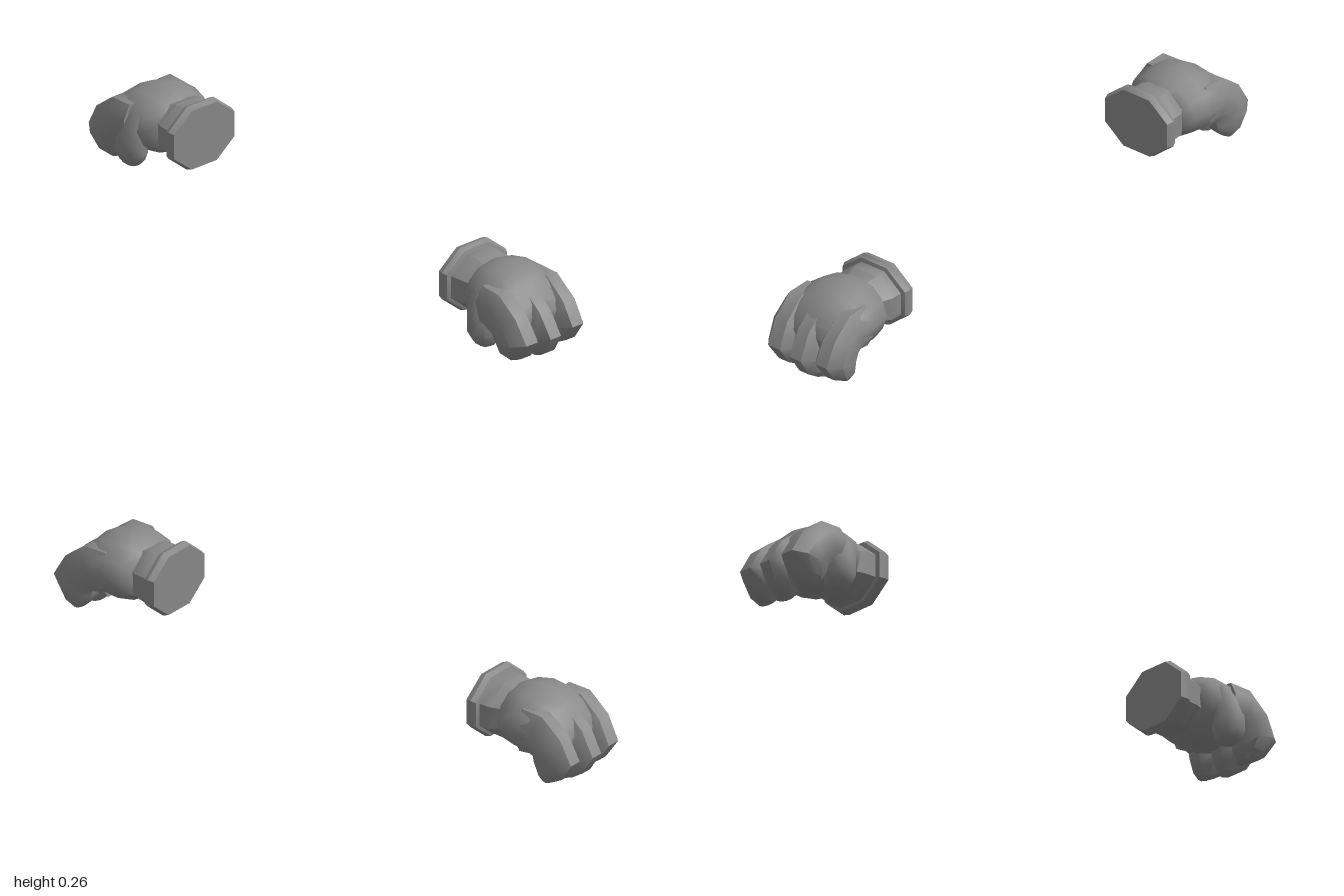
import * as THREE from 'three';
import { toCreasedNormals } from 'three/addons/utils/BufferGeometryUtils.js';

const grey = new THREE.MeshStandardMaterial({ color: 0x888888 });
grey.name = 'glove grey';

// Lofts oval rings. Each ring is [outerX, outerY, innerX, innerY, zCentre, zHalfWidth].
// flat turns the ring so that a flat side, not a corner, faces outward.
function loft(name, rings, side, n, flat, crease) {
  const pos = [], idx = [];
  const turn = flat ? Math.PI / n : 0;
  const grow = flat ? 1 / Math.cos(Math.PI / n) : 1;
  for (const [ox, oy, ix, iy, z, w] of rings) {
    for (let j = 0; j < n; j++) {
      const t = turn + (j / n) * Math.PI * 2;
      const c = Math.cos(t) * grow, s = Math.sin(t) * grow;
      pos.push(side * ((ox + ix) / 2 + ((ox - ix) / 2) * c), (oy + iy) / 2 + ((oy - iy) / 2) * c, z + w * s);
    }
  }
  const tri = (a, b, c) => (side > 0 ? idx.push(a, b, c) : idx.push(a, c, b));
  const last = (rings.length - 1) * n;
  for (let k = 0; k < last; k += n) {
    for (let j = 0; j < n; j++) {
      const m = (j + 1) % n;
      tri(k + j, k + m, k + n + m);
      tri(k + j, k + n + m, k + n + j);
    }
  }
  for (let j = 1; j < n - 1; j++) {
    tri(0, j + 1, j);
    tri(last, last + j, last + j + 1);
  }
  const geo = new THREE.BufferGeometry();
  geo.setAttribute('position', new THREE.Float32BufferAttribute(pos, 3));
  geo.setIndex(idx);
  const mesh = new THREE.Mesh(toCreasedNormals(geo, crease), grey);
  mesh.name = name;
  return mesh;
}

// Upright ring across the arm: x, top, bottom, back, front
const across = (x, top, bottom, back, front) => [x, top, x, bottom, (back + front) / 2, (front - back) / 2];

// One curled finger, sliding from z0 at the knuckle to z1 at the tip
function finger(name, side, z0, z1, width, reach, lift) {
  const path = [
    [0.8, 0.225, 0.79, 0.08, 0.8],
    [0.88, 0.222, 0.83, 0.085, 0.95],
    [0.955, 0.165, 0.845, 0.08, 1],
    [1, 0.09, 0.85, 0.06, 1],
    [0.965, 0.03, 0.86, 0.035, 0.85],
    [0.925, 0.004, 0.885, 0.008, 0.5],
  ];
  const rings = path.map(([ox, oy, ix, iy, w], k) => {
    const f = k / (path.length - 1);
    return [ox - reach * f, oy + lift * f, ix, iy + lift * f, z0 + (z1 - z0) * f * f, width * w];
  });
  return loft(name, rings, side, 8, true, 0.75);
}

function hand(side) {
  const g = new THREE.Group();
  g.name = side > 0 ? 'leftHand' : 'rightHand';

  // Wrist cuff: raised rim, step, then sleeve
  g.add(loft('cuff', [
    across(0.6, 0.255, 0.06, -0.132, 0.108),
    across(0.62, 0.263, 0.053, -0.138, 0.114),
    across(0.636, 0.255, 0.058, -0.132, 0.108),
    across(0.64, 0.244, 0.067, -0.12, 0.095),
    across(0.68, 0.245, 0.067, -0.12, 0.092),
    across(0.71, 0.235, 0.073, -0.1, 0.08),
    across(0.73, 0.235, 0.075, -0.1, 0.08),
  ], side, 8, true, 0.7));

  // Palm and back of the hand
  g.add(loft('palm', [
    across(0.695, 0.232, 0.078, -0.1, 0.08),
    across(0.725, 0.252, 0.062, -0.137, 0.118),
    across(0.78, 0.265, 0.052, -0.15, 0.13),
    across(0.835, 0.255, 0.055, -0.15, 0.132),
    across(0.885, 0.228, 0.068, -0.143, 0.13),
    across(0.925, 0.185, 0.08, -0.12, 0.11),
    across(0.94, 0.15, 0.095, -0.1, 0.09),
  ], side, 12, false, 0.9));

  // Three curled fingers
  g.add(finger('frontFinger', side, 0.092, 0.062, 0.054, 0.012, 0.004));
  g.add(finger('middleFinger', side, 0.002, -0.022, 0.05, 0, -0.003));
  g.add(finger('backFinger', side, -0.098, -0.105, 0.051, 0.012, 0.01));

  // Thumb folded down across the front
  g.add(loft('thumb', [
    [0.81, 0.205, 0.745, 0.205, 0.085, 0.03],
    [0.835, 0.17, 0.74, 0.165, 0.098, 0.042],
    [0.85, 0.12, 0.742, 0.115, 0.102, 0.047],
    [0.852, 0.07, 0.745, 0.068, 0.104, 0.046],
    [0.84, 0.04, 0.757, 0.043, 0.1, 0.036],
    [0.815, 0.024, 0.778, 0.026, 0.097, 0.018],
  ], side, 8, false, 0.9));
  return g;
}

export function createModel() {
  const model = new THREE.Group();
  model.name = 'pairOfHands';
  for (const side of [1, -1]) model.add(hand(side));
  return model;
}
